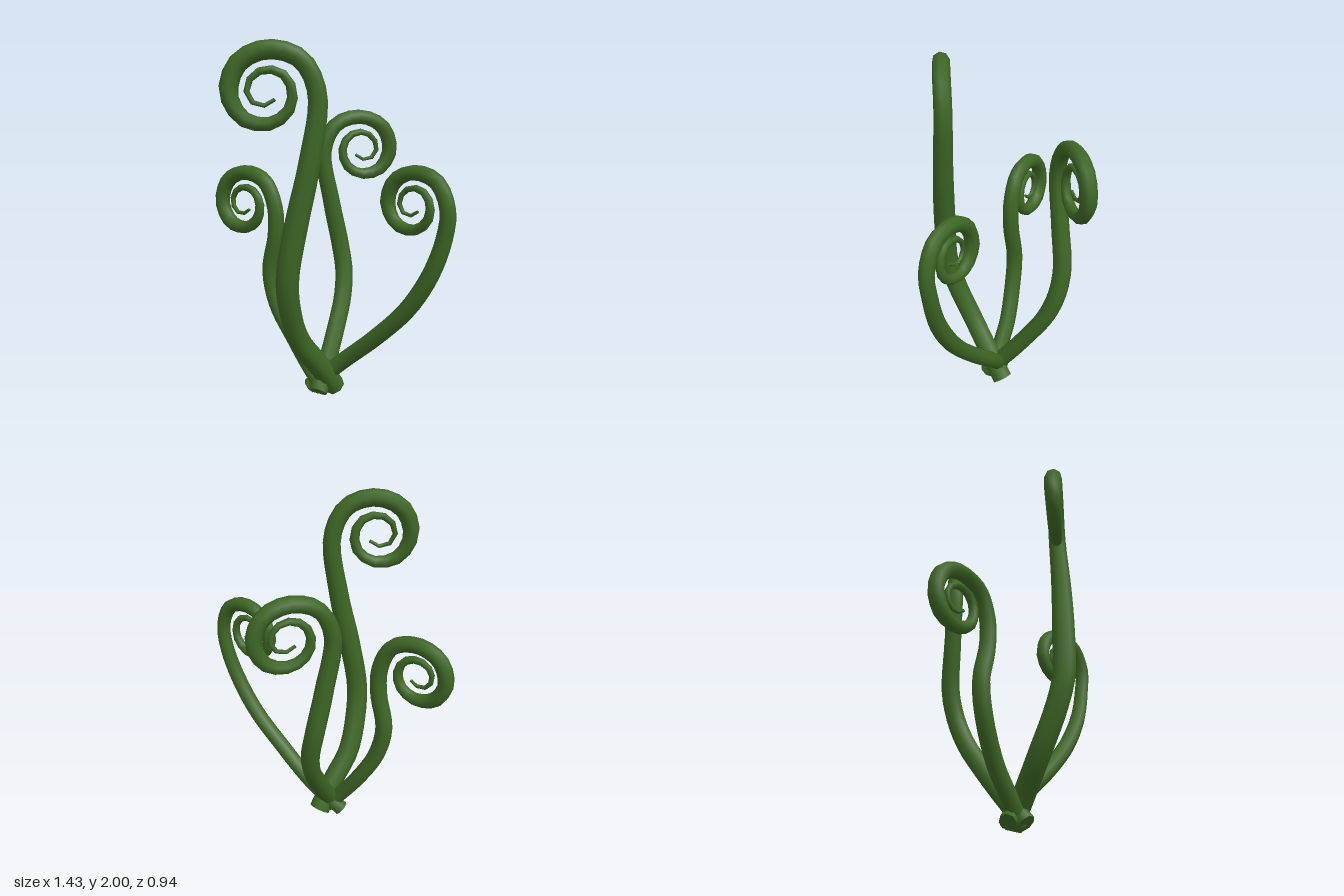
import * as THREE from 'three';
import { toCreasedNormals } from 'three/addons/utils/BufferGeometryUtils.js';

const SIDES = 8;
const SEGMENTS = 56;

// Curl radius at every 45 degrees, from the stem over the top and inward
const CURL = [0.25, 0.235, 0.213, 0.208, 0.2, 0.185, 0.16, 0.14, 0.125, 0.12, 0.115, 0.113, 0.108, 0.088, 0.062, 0.05];

// stem: points from the ground up; centre and dir: middle and heading of the curl
const FRONDS = [
  {
    name: 'tallFrontFrond', radius: 0.064, tip: 0.05, scale: 1,
    stem: [[0.05, 0.03, 0.04], [-0.03, 0.2, 0.14], [-0.115, 0.36, 0.235], [-0.15, 0.58, 0.335], [-0.15, 0.76, 0.385], [-0.1, 1.05, 0.385], [-0.03, 1.38, 0.37]],
    centre: [-0.24, 1.735, 0.39], dir: [-0.987, 0.16],
  },
  {
    name: 'rightFrond', radius: 0.05, tip: 0.045, scale: 0.88,
    stem: [[0, 0.03, 0.1], [-0.09, 0.15, 0.07], [-0.19, 0.3, 0.025], [-0.3, 0.5, 0], [-0.34, 0.7, -0.01], [-0.3, 0.92, 0.01]],
    centre: [-0.505, 1.085, -0.08], dir: [-0.915, -0.404],
  },
  {
    name: 'leftFrond', radius: 0.048, tip: 0.042, scale: 0.82,
    stem: [[-0.09, 0.03, 0.06], [0.1, 0.2, 0.085], [0.31, 0.4, 0.19], [0.48, 0.59, 0.27], [0.6, 0.8, 0.325], [0.665, 1.0, 0.345]],
    centre: [0.5, 1.15, 0.25], dir: [-0.865, -0.5],
  },
  {
    name: 'backFrond', radius: 0.054, tip: 0.045, scale: 0.92,
    stem: [[-0.03, 0.03, 0.14], [0.01, 0.2, 0], [0.04, 0.36, -0.12], [0.06, 0.5, -0.215], [0.06, 0.65, -0.28], [0.03, 0.82, -0.31], [-0.02, 1.08, -0.29]],
    centre: [0.15, 1.395, -0.355], dir: [0.92, -0.39],
  },
];

// Stem points followed by a flat spiral in an upright plane
function frondPath({ stem, centre, dir, scale }) {
  const points = stem.map((p) => new THREE.Vector3(...p));
  CURL.forEach((r, i) => {
    const angle = Math.PI - (i * Math.PI) / 4;
    const u = Math.cos(angle) * r * scale;
    const v = Math.sin(angle) * r * scale;
    points.push(new THREE.Vector3(centre[0] + u * dir[0], centre[1] + v, centre[2] + u * dir[1]));
  });
  return new THREE.CatmullRomCurve3(points);
}

// Tapering closed tube along the path
function frondGeometry(frond) {
  const path = frondPath(frond);
  const frames = path.computeFrenetFrames(SEGMENTS, false);
  const positions = [];
  const indices = [];
  const last = SEGMENTS + 2;
  for (let ring = 0; ring <= last; ring++) {
    const i = THREE.MathUtils.clamp(ring - 1, 0, SEGMENTS);
    const t = i / SEGMENTS;
    const centre = path.getPointAt(t);
    let radius = THREE.MathUtils.lerp(frond.radius, frond.tip, THREE.MathUtils.smoothstep(t, 0.3, 0.55));
    radius *= THREE.MathUtils.lerp(1, 0.2, Math.pow(THREE.MathUtils.clamp((t - 0.7) / 0.3, 0, 1), 0.8));
    if (ring === 0 || ring === last) radius = 0; // end caps
    for (let j = 0; j < SIDES; j++) {
      const a = (j / SIDES) * Math.PI * 2;
      const p = centre.clone()
        .addScaledVector(frames.normals[i], Math.cos(a) * radius)
        .addScaledVector(frames.binormals[i], Math.sin(a) * radius);
      positions.push(p.x, Math.max(p.y, 0), p.z);
      if (ring < last) {
        const b = ring * SIDES + j;
        const c = ring * SIDES + ((j + 1) % SIDES);
        if (ring > 0) indices.push(b, c, b + SIDES);
        if (ring < last - 1) indices.push(c, c + SIDES, b + SIDES);
      }
    }
  }
  const geometry = new THREE.BufferGeometry();
  geometry.setAttribute('position', new THREE.Float32BufferAttribute(positions, 3));
  geometry.setIndex(indices);
  return toCreasedNormals(geometry, 1.2);
}

export function createModel() {
  const model = new THREE.Group();
  model.name = 'curledFern';
  const green = new THREE.MeshStandardMaterial({ color: 0x3d6624 });
  for (const frond of FRONDS) {
    const mesh = new THREE.Mesh(frondGeometry(frond), green);
    mesh.name = frond.name;
    model.add(mesh);
  }
  return model;
}
